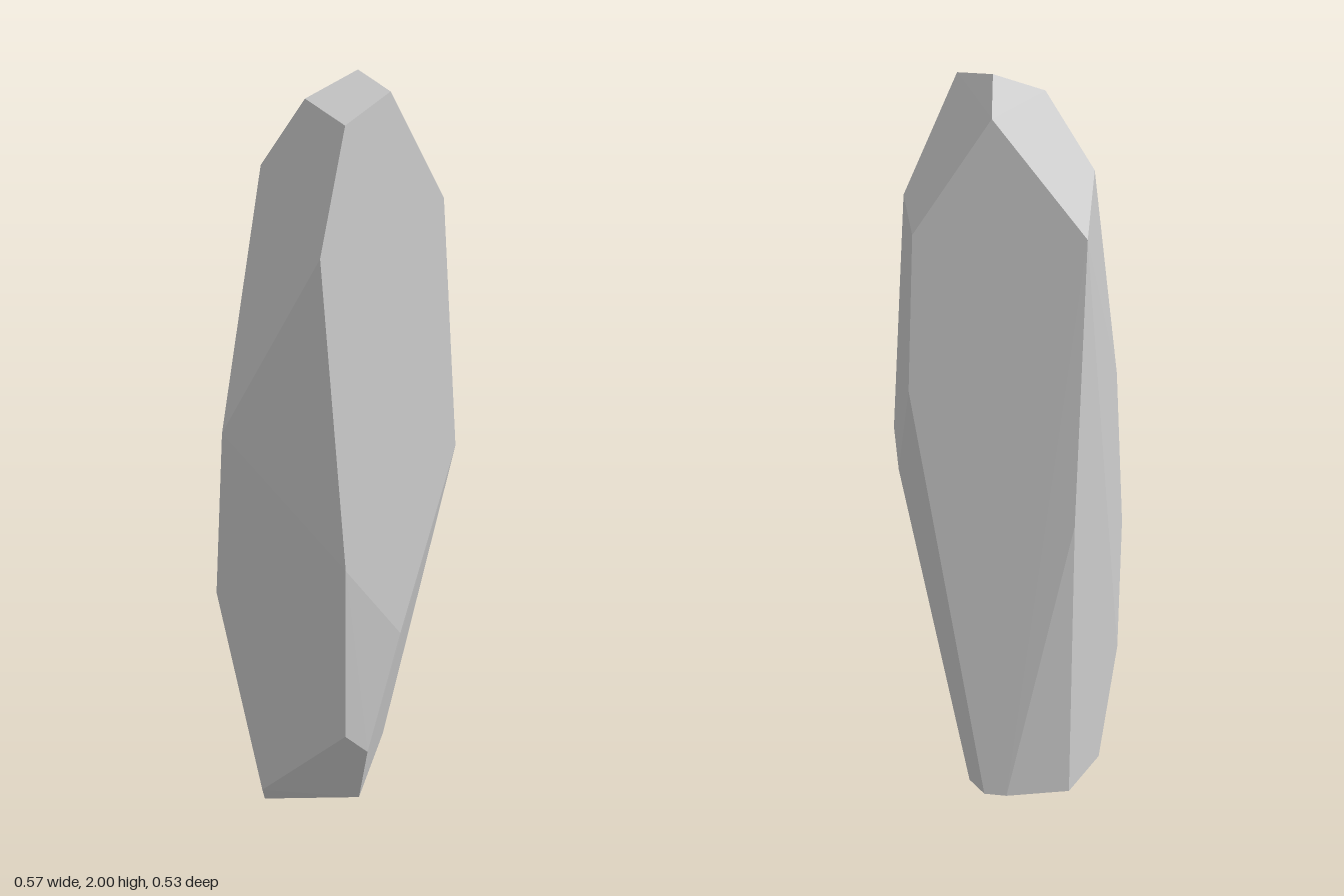
import * as THREE from 'three';
import { ConvexGeometry } from 'three/addons/geometries/ConvexGeometry.js';

// Corners of the faceted standing stone, in rings from the tip down
const corners = [
  // tip
  [0.09, 2, 0], [0.027, 1.97, 0.14], [-0.037, 1.94, -0.07], [0.17, 1.92, -0.045], [-0.107, 1.905, 0.1],
  // shoulders
  [-0.048, 1.76, -0.203], [0.17, 1.69, 0.21], [0.095, 1.64, -0.264], [0.259, 1.63, 0.127], [-0.205, 1.6, 0.096],
  // waist
  [0.286, 1.22, 0.134], [-0.277, 1.11, -0.166], [0.168, 1.03, 0.267], [0.22, 0.94, 0.22], [0.136, 0.87, -0.267],
  [-0.2, 0.78, 0.17], [-0.287, 0.645, -0.193], [-0.044, 0.55, 0.24],
  // lower facets
  [-0.136, 0.33, -0.267], [-0.2, 0.28, 0.17], [-0.137, 0.21, 0.2], [-0.262, 0.05, -0.07],
  // flat foot
  [-0.075, 0, 0.13], [0.24, 0, 0], [0.27, 0, -0.068], [0.246, 0, -0.126],
  [0.138, 0, -0.267], [-0.04, 0, -0.267], [-0.235, 0, -0.083],
];

export function createModel() {
  const group = new THREE.Group();
  group.name = 'standingStone';

  // The stone is the convex skin over its corners
  const geometry = new ConvexGeometry(corners.map((c) => new THREE.Vector3(...c)));
  const material = new THREE.MeshStandardMaterial({ color: 0xcccccc, flatShading: true });
  const stone = new THREE.Mesh(geometry, material);
  stone.name = 'stone';
  group.add(stone);
  return group;
}
